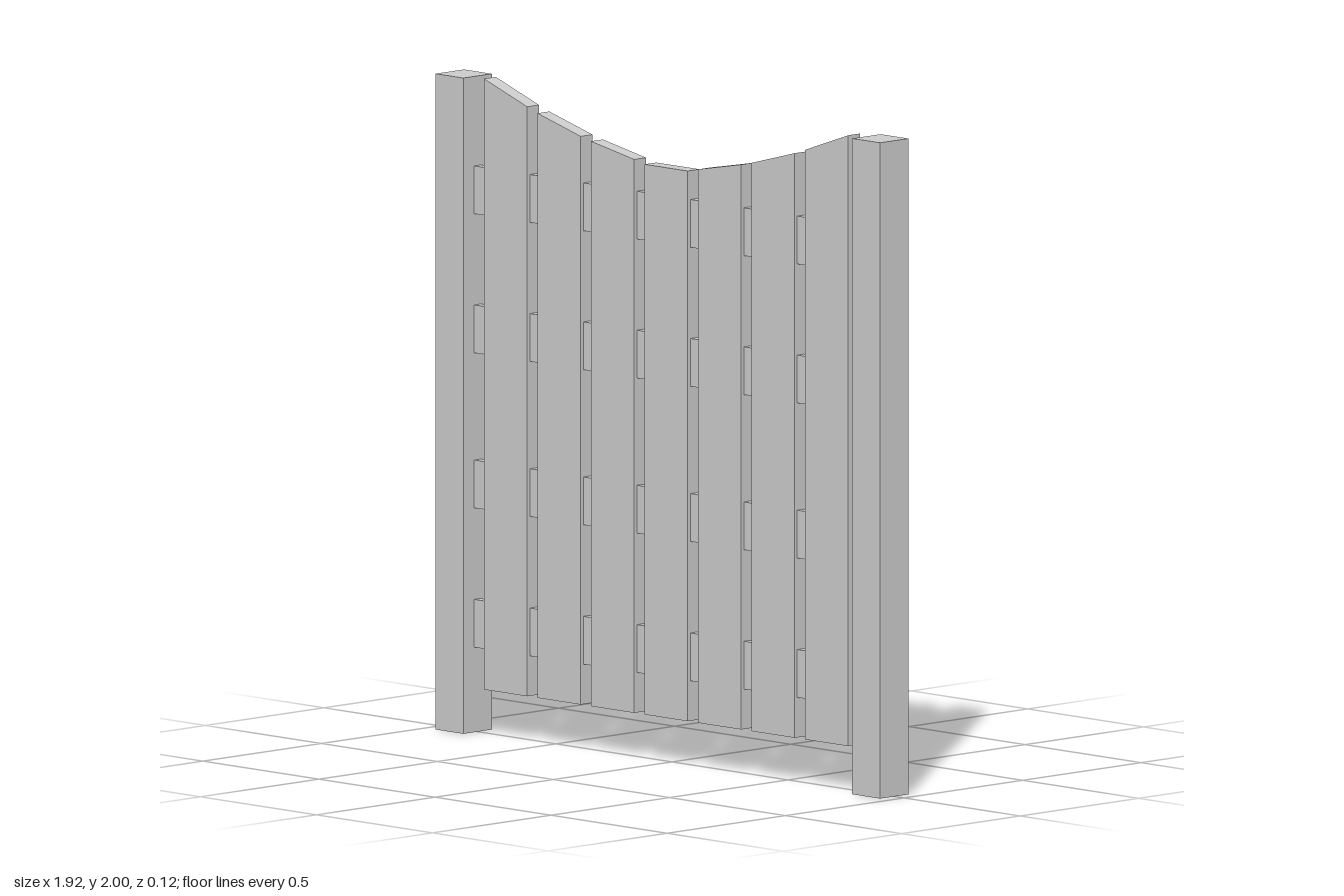
import * as THREE from 'three';

export function createModel() {
  const gate = new THREE.Group();
  gate.name = 'fenceGate';
  const wood = new THREE.MeshStandardMaterial({ color: 0xcccccc, flatShading: true });
  const openWood = new THREE.MeshStandardMaterial({ color: 0xcccccc, flatShading: true, side: THREE.DoubleSide });

  const add = (name, geometry, x, y, material = wood) => {
    const mesh = new THREE.Mesh(geometry, material);
    mesh.name = name;
    mesh.position.set(x, y, 0);
    gate.add(mesh);
  };

  // Square posts, hollow underneath (bottom face left out)
  const postGeometry = new THREE.BoxGeometry(0.12, 2, 0.12);
  const index = Array.from(postGeometry.index.array);
  index.splice(18, 6);
  postGeometry.setIndex(index);
  postGeometry.clearGroups();
  add('leftPost', postGeometry, 0.898, 1, openWood);
  add('rightPost', postGeometry, -0.898, 1, openWood);

  // Upright planks; each top is cut straight along a dipping curve
  const halfWidth = 0.093, pitch = 0.2305, bottom = 0.137, depth = 0.05;
  const tops = [[1.815, 1.815], [1.825, 1.86], [1.87, 1.92], [1.935, 2]]; // inner, outer
  for (let i = -3; i <= 3; i++) {
    const [inner, outer] = tops[Math.abs(i)];
    const shape = new THREE.Shape([
      new THREE.Vector2(-halfWidth, bottom),
      new THREE.Vector2(halfWidth, bottom),
      new THREE.Vector2(halfWidth, i < 0 ? inner : outer),
      new THREE.Vector2(-halfWidth, i < 0 ? outer : inner),
    ]);
    const plank = new THREE.ExtrudeGeometry(shape, { depth, bevelEnabled: false });
    plank.translate(0, 0, -depth / 2);
    add(`plank${i + 4}`, plank, i * pitch, 0);
  }

  // Thin rails from the hinge-side post, ending inside the last plank
  const railStart = -0.838, railEnd = 0.77;
  [0.332, 0.757, 1.23, 1.654].forEach((y, i) => {
    add(`rail${i + 1}`, new THREE.BoxGeometry(railEnd - railStart, 0.146, 0.028), (railStart + railEnd) / 2, y);
  });

  return gate;
}
